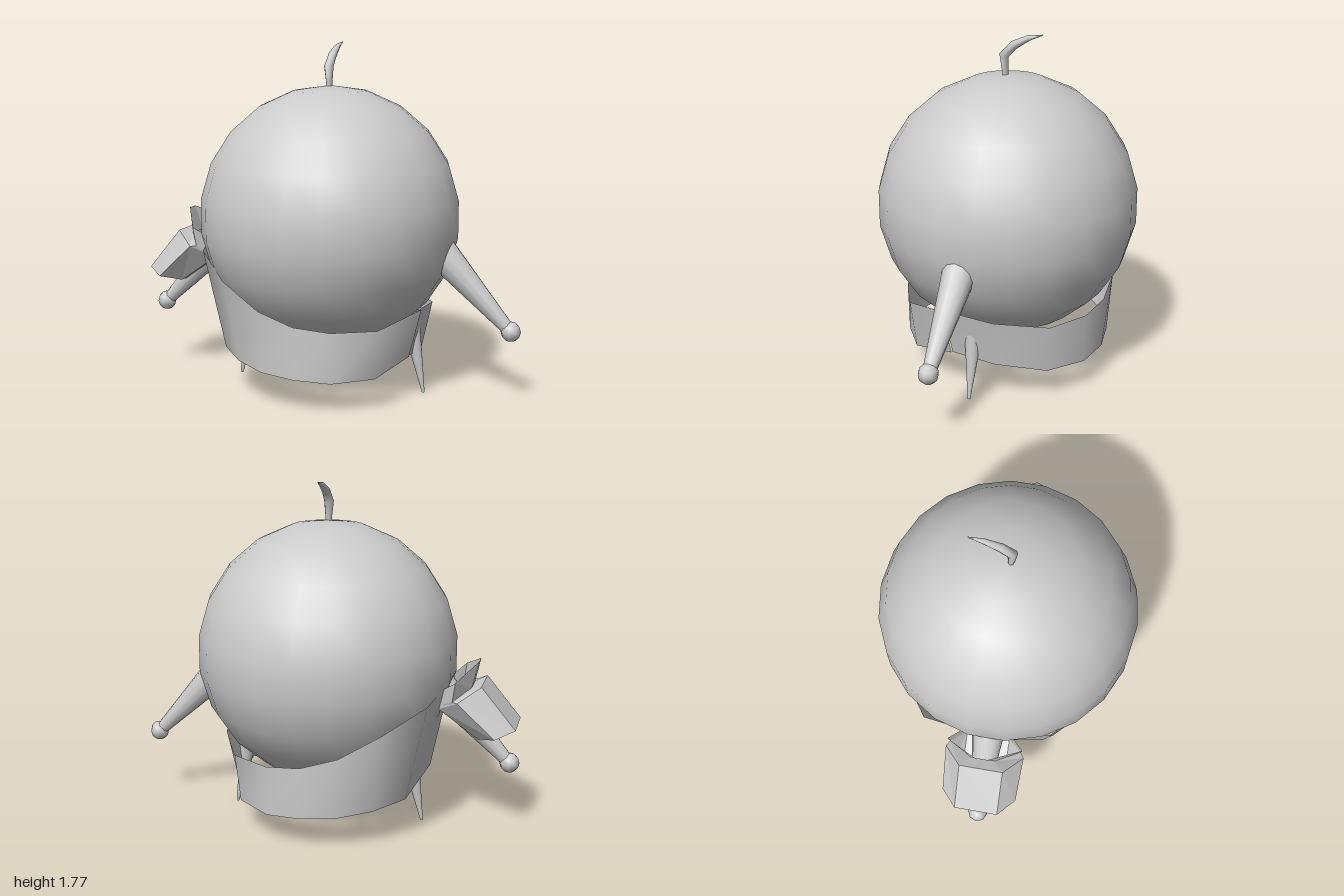
import * as THREE from 'three';

const V = (x, y, z) => new THREE.Vector3(x, y, z);
const smooth = new THREE.MeshStandardMaterial({ color: 0xcccccc });
const cloth = new THREE.MeshStandardMaterial({ color: 0xcccccc, side: THREE.DoubleSide });
const facetedCloth = new THREE.MeshStandardMaterial({ color: 0xcccccc, side: THREE.DoubleSide, flatShading: true });

function addMesh(parent, name, geometry, material = smooth) {
  const mesh = new THREE.Mesh(geometry, material);
  mesh.name = name;
  parent.add(mesh);
  return mesh;
}

// Skin a surface over rows of points of equal length
function loft(rows, closed) {
  const n = rows[0].length, index = [];
  for (let i = 0; i < rows.length - 1; i++) {
    for (let j = 0; j < (closed ? n : n - 1); j++) {
      const a = i * n + j, b = i * n + (j + 1) % n;
      index.push(a, b, a + n, b, b + n, a + n);
    }
  }
  const geometry = new THREE.BufferGeometry().setFromPoints(rows.flat());
  geometry.setIndex(index);
  geometry.computeVertexNormals();
  return geometry;
}

// Tapered rod between two points
function rod(parent, name, from, to, r0, r1) {
  const mesh = addMesh(parent, name, new THREE.CylinderGeometry(r1, r0, from.distanceTo(to), 12));
  mesh.position.copy(from).lerp(to, 0.5);
  mesh.quaternion.setFromUnitVectors(V(0, 1, 0), to.clone().sub(from).normalize());
}

export function createModel() {
  const model = new THREE.Group();
  model.name = 'roundCharacter';

  // Round body
  const body = addMesh(model, 'body', new THREE.SphereGeometry(0.665, 22, 11).rotateY(Math.PI / 2));
  body.position.y = 0.89;

  // Arms with ball hands, and pointed legs
  for (const [side, s] of [['left', 1], ['right', -1]]) {
    rod(model, side + 'Arm', V(s * 0.57, 0.755, 0), V(s * 0.94, 0.37, 0), 0.088, 0.032);
    const hand = addMesh(model, side + 'Hand', new THREE.SphereGeometry(0.051, 8, 6));
    hand.position.set(s * 0.949, 0.362, 0);
    rod(model, side + 'Leg', V(s * 0.425, 0.42, 0), V(s * 0.507, 0, 0), 0.055, 0.007);
  }

  // Wrapped garment: [degrees from +x, top radius, top y, bottom radius, bottom y]
  const wrap = [
    [14, 0.545, 0.47, 0.475, 0.215], [45, 0.54, 0.41, 0.51, 0.16], [70, 0.53, 0.41, 0.525, 0.155],
    [90, 0.53, 0.43, 0.525, 0.165], [110, 0.55, 0.49, 0.525, 0.175], [130, 0.61, 0.61, 0.53, 0.195],
    [150, 0.655, 0.73, 0.545, 0.22], [180, 0.64, 0.775, 0.545, 0.31], [210, 0.675, 0.73, 0.545, 0.22],
    [230, 0.61, 0.61, 0.53, 0.195], [250, 0.55, 0.49, 0.525, 0.175], [270, 0.53, 0.43, 0.525, 0.165],
    [290, 0.53, 0.41, 0.525, 0.155], [315, 0.54, 0.41, 0.51, 0.16], [345, 0.53, 0.445, 0.475, 0.195],
    [374, 0.535, 0.47, 0.465, 0.215],
  ];
  const wrapPoint = (deg, r, y) => {
    const a = THREE.MathUtils.degToRad(deg);
    return V(r * Math.cos(a), y, r * Math.sin(a));
  };
  addMesh(model, 'wrapGarment', loft([
    wrap.map(([d, , , r, y]) => wrapPoint(d, r, y)),
    wrap.map(([d, r, y]) => wrapPoint(d, r, y)),
  ], false), cloth);

  // Six-sided sleeve and flared collar: [outer x, y, inner x, y, half depth, outer half depth]
  const sleeve = [
    [-0.95, 0.565, -0.8, 0.525, 0.16, 0.09],
    [-0.985, 0.57, -0.8, 0.51, 0.19, 0.11],
    [-0.81, 0.78, -0.6, 0.65, 0.2, 0.11],
    [-0.755, 0.76, -0.6, 0.67, 0.18, 0.06],
    [-0.785, 0.89, -0.6, 0.74, 0.19, 0.03],
  ];
  addMesh(model, 'sleeve', loft(sleeve.map(([ox, oy, ix, iy, d, e]) => {
    const mx = (ox + ix) / 2, my = (oy + iy) / 2;
    return [V(ox, oy, e), V(mx, my, d), V(ix, iy, 0.11), V(ix, iy, -0.11), V(mx, my, -d), V(ox, oy, -e)];
  }), true), facetedCloth);

  // Curved hair tuft: [y, z, radius]
  const tuft = [[1.54, 0.012, 0.014], [1.65, 0.02, 0.025], [1.705, -0.035, 0.022], [1.745, -0.11, 0.014], [1.765, -0.185, 0.002]];
  const rings = tuft.map(([y, z, r], i) => {
    const p = tuft[Math.max(i - 1, 0)], q = tuft[Math.min(i + 1, tuft.length - 1)];
    const dir = V(0, q[0] - p[0], q[1] - p[1]).normalize();
    return Array.from({ length: 8 }, (_, j) => {
      const a = j * Math.PI / 4, w = r * Math.sin(a);
      return V(r * Math.cos(a), y - dir.z * w, z + dir.y * w);
    });
  });
  addMesh(model, 'hairTuft', loft(rings, true), cloth);

  return model;
}
